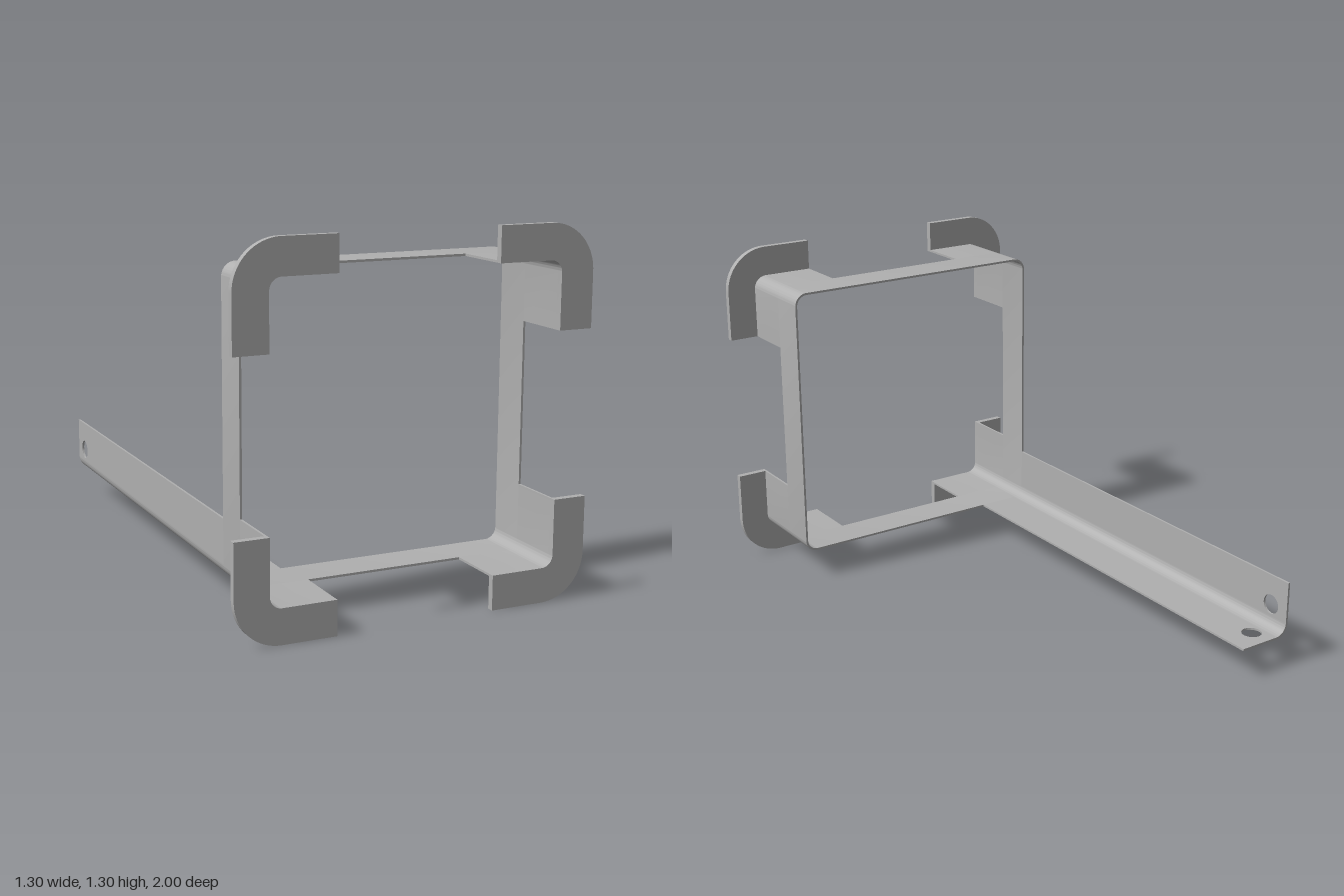
import * as THREE from 'three';
import { toCreasedNormals } from 'three/addons/utils/BufferGeometryUtils.js';

const C = 0.649;            // height of the frame centre, half the flange span
const OUT = 0.534, IN = 0.526; // sheet metal outer and inner half size
const R_OUT = 0.05, R_IN = 0.042;

const steel = new THREE.MeshStandardMaterial({ color: 0xb0b0b0 });
steel.name = 'grey steel';

// Rounded L in the +x +y quadrant, both legs ending at "start"
function angleShape(out, rOut, inner, rIn, start) {
  const s = new THREE.Shape();
  s.moveTo(start, out);
  s.lineTo(out - rOut, out);
  s.absarc(out - rOut, out - rOut, rOut, Math.PI / 2, 0, true);
  s.lineTo(out, start);
  s.lineTo(inner, start);
  s.lineTo(inner, inner - rIn);
  s.absarc(inner - rIn, inner - rIn, rIn, 0, Math.PI / 2, false);
  s.lineTo(start, inner);
  s.closePath();
  return s;
}

function roundedSquare(path, half, r) {
  const c = half - r;
  path.moveTo(half, -c);
  path.absarc(c, c, r, 0, Math.PI / 2, false);
  path.absarc(-c, c, r, Math.PI / 2, Math.PI, false);
  path.absarc(-c, -c, r, Math.PI, Math.PI * 1.5, false);
  path.absarc(c, -c, r, Math.PI * 1.5, Math.PI * 2, false);
  return path;
}

// Extrude a shape along z between two positions
function extrude(name, shape, z0, z1) {
  const geo = new THREE.ExtrudeGeometry(shape, { depth: z1 - z0, bevelEnabled: false, curveSegments: 16 });
  geo.translate(0, 0, z0);
  const mesh = new THREE.Mesh(toCreasedNormals(geo, 0.6), steel);
  mesh.name = name;
  return mesh;
}

export function createModel() {
  const model = new THREE.Group();
  model.name = 'bracket';
  const frame = new THREE.Group();
  frame.name = 'frame';
  frame.position.y = C;
  model.add(frame);

  // Continuous thin band at the back of the frame
  const band = roundedSquare(new THREE.Shape(), OUT, R_OUT);
  band.holes.push(roundedSquare(new THREE.Path(), IN, R_IN));
  frame.add(extrude('band', band, 0.633, 0.778));

  // Four corner tabs, each ending in a flat front flange
  for (let i = 0; i < 4; i++) {
    const corner = new THREE.Group();
    corner.name = 'corner';
    corner.add(extrude('cornerWall', angleShape(OUT, R_OUT, IN, R_IN, 0.29), 0.778, 0.976));
    corner.add(extrude('cornerFlange', angleShape(C, 0.165, IN, R_IN, 0.29), 0.976, 1));
    corner.rotation.z = i * Math.PI / 2;
    frame.add(corner);
  }

  // Long angle arm running back from the lower corner at -x
  const arm = new THREE.Group();
  arm.name = 'arm';
  arm.rotation.z = Math.PI;
  const bendStart = OUT - R_OUT;
  arm.add(extrude('armBend', angleShape(OUT, R_OUT, IN, R_IN, bendStart), -1, 0.633));

  // Flat leg of the arm with a bolt hole near its end
  const leg = new THREE.Shape();
  leg.moveTo(0.325, -1);
  leg.lineTo(bendStart, -1);
  leg.lineTo(bendStart, 0.633);
  leg.lineTo(0.325, 0.633);
  leg.closePath();
  leg.holes.push(new THREE.Path().absarc(0.438, -0.92, 0.037, 0, Math.PI * 2, true));

  const bottomLeg = extrude('armBottomLeg', leg, -OUT, -IN);
  bottomLeg.rotation.x = Math.PI / 2; // shape y becomes z, depth becomes -y
  arm.add(bottomLeg);

  const sideLeg = extrude('armSideLeg', leg, IN, OUT);
  // Cyclic swap: shape x to y, shape y to z, depth to x
  sideLeg.geometry.applyMatrix4(new THREE.Matrix4().makeBasis(
    new THREE.Vector3(0, 1, 0), new THREE.Vector3(0, 0, 1), new THREE.Vector3(1, 0, 0)));
  arm.add(sideLeg);
  frame.add(arm);

  return model;
}
